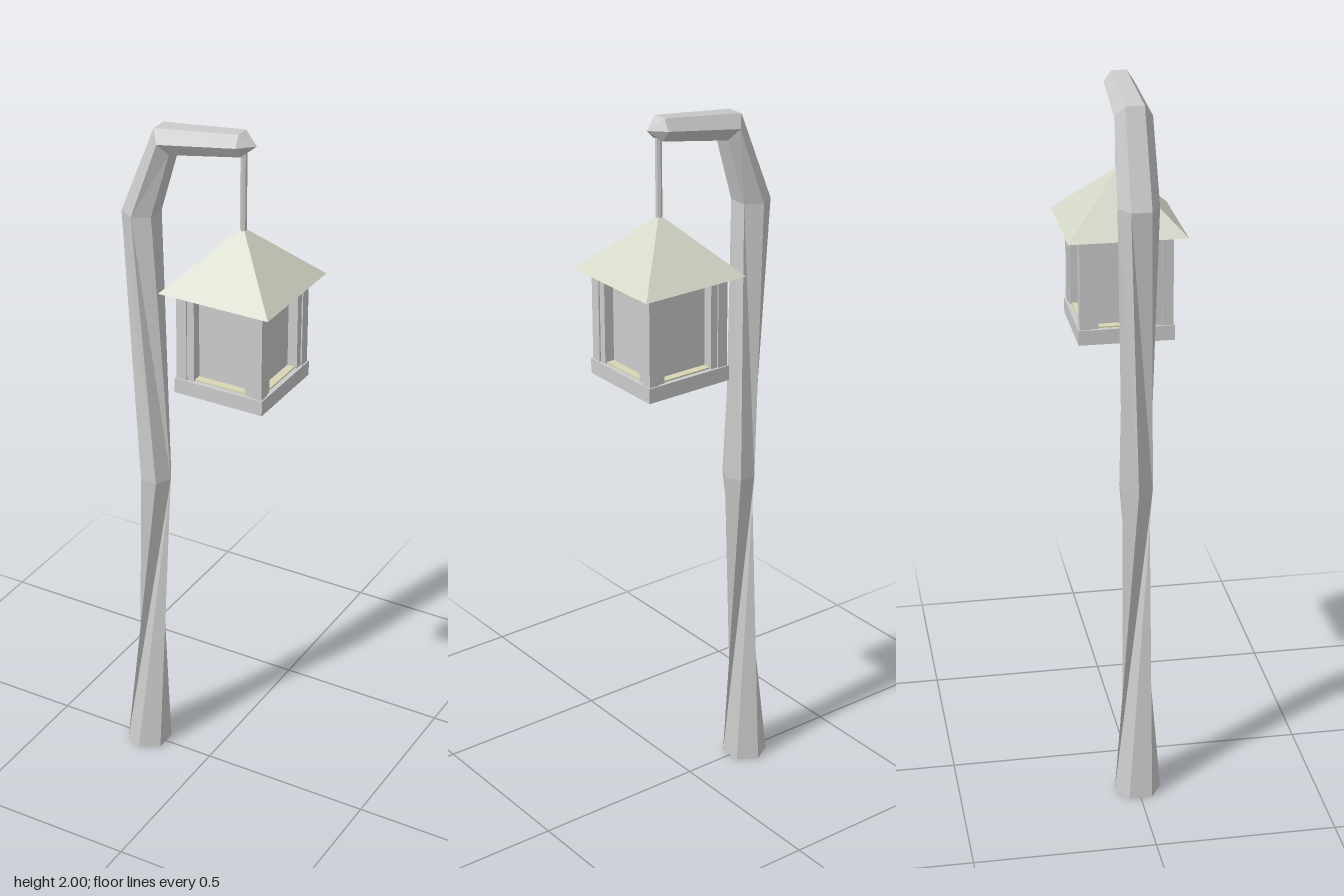
import * as THREE from 'three';

const grey = new THREE.MeshStandardMaterial({ color: 0xcccccc, flatShading: true });
const roofMaterial = new THREE.MeshStandardMaterial({ color: 0xd4d8c8, flatShading: true });
const sillMaterial = new THREE.MeshStandardMaterial({ color: 0xd8d6b4, flatShading: true });

const SIDES = 6;

// Ring of a six-sided pole: outer and inner flat midpoints [x, y], half depth, twist
function ring([ox, oy], [ix, iy], r, twist = 0) {
  const cx = (ox + ix) / 2, cy = (oy + iy) / 2;
  const k = 1 / Math.cos(Math.PI / 6);
  return Array.from({ length: SIDES }, (_, j) => {
    const t = Math.PI / 6 + (j * Math.PI) / 3 + twist;
    return new THREE.Vector3(
      cx + (ox - cx) * Math.cos(t) * k,
      cy + (oy - cy) * Math.cos(t) * k,
      r * Math.sin(t));
  });
}

// Skin a list of rings; rings of zero size close the ends
function skin(rings) {
  const points = [];
  const triangle = (a, b, c) => {
    if (a.distanceTo(b) > 1e-6 && b.distanceTo(c) > 1e-6 && c.distanceTo(a) > 1e-6) points.push(a, b, c);
  };
  for (let i = 0; i < rings.length - 1; i++) {
    for (let j = 0; j < SIDES; j++) {
      const n = (j + 1) % SIDES;
      const [a, b, c, d] = [rings[i][j], rings[i][n], rings[i + 1][n], rings[i + 1][j]];
      triangle(a, b, c);
      triangle(a, c, d);
    }
  }
  const geometry = new THREE.BufferGeometry().setFromPoints(points);
  geometry.computeVertexNormals();
  return geometry;
}

function add(parent, name, geometry, x, y, z, material = grey) {
  const mesh = new THREE.Mesh(geometry, material);
  mesh.name = name;
  mesh.position.set(x, y, z);
  parent.add(mesh);
  return mesh;
}

const box = (w, h, d) => new THREE.BoxGeometry(w, h, d);

export function createModel() {
  const model = new THREE.Group();
  model.name = 'hangingLantern';

  // Crooked post, twisted at mid height, bending over into the arm and its pointed end
  add(model, 'postAndArm', skin([
    ring([-0.205, 0], [-0.205, 0], 0),
    ring([-0.26, 0], [-0.15, 0], 0.065),
    ring([-0.213, 0.92], [-0.13, 0.92], 0.048, Math.PI / 2),
    ring([-0.25, 1.72], [-0.16, 1.72], 0.055),
    ring([-0.15, 1.97], [-0.105, 1.905], 0.05),
    ring([0.095, 2], [0.1, 1.94], 0.04),
    ring([0.137, 1.97], [0.137, 1.97], 0),
  ]), 0, 0, 0);

  const lantern = new THREE.Group();
  lantern.name = 'lantern';
  lantern.position.x = 0.1;
  model.add(lantern);

  // Hanging rod
  add(lantern, 'hangingRod', new THREE.CylinderGeometry(0.009, 0.009, 0.24, 6), 0, 1.84, 0);

  // Pyramid roof
  const roof = new THREE.ConeGeometry(0.161 * Math.SQRT2, 0.16, 4);
  roof.rotateY(Math.PI / 4);
  add(lantern, 'roof', roof, 0, 1.66, 0, roofMaterial);

  // Base tray and pale sill
  add(lantern, 'base', box(0.262, 0.042, 0.262), 0, 1.306, 0);
  add(lantern, 'sill', box(0.235, 0.006, 0.235), 0, 1.328, 0, sillMaterial);

  // Inner glazed box
  add(lantern, 'panes', box(0.19, 0.26, 0.19), 0, 1.455, 0);

  // Corner posts
  for (const sx of [-1, 1]) {
    for (const sz of [-1, 1]) {
      add(lantern, 'cornerPost', box(0.03, 0.26, 0.03), sx * 0.112, 1.455, sz * 0.112);
    }
  }

  // Upright window frame strips beside each corner post
  for (let i = 0; i < 4; i++) {
    const side = new THREE.Group();
    side.name = 'windowFrame';
    side.rotation.y = (i * Math.PI) / 2;
    lantern.add(side);
    for (const s of [-1, 1]) {
      add(side, 'frameStrip', box(0.022, 0.26, 0.028), s * 0.0875, 1.455, 0.109);
    }
  }

  return model;
}
